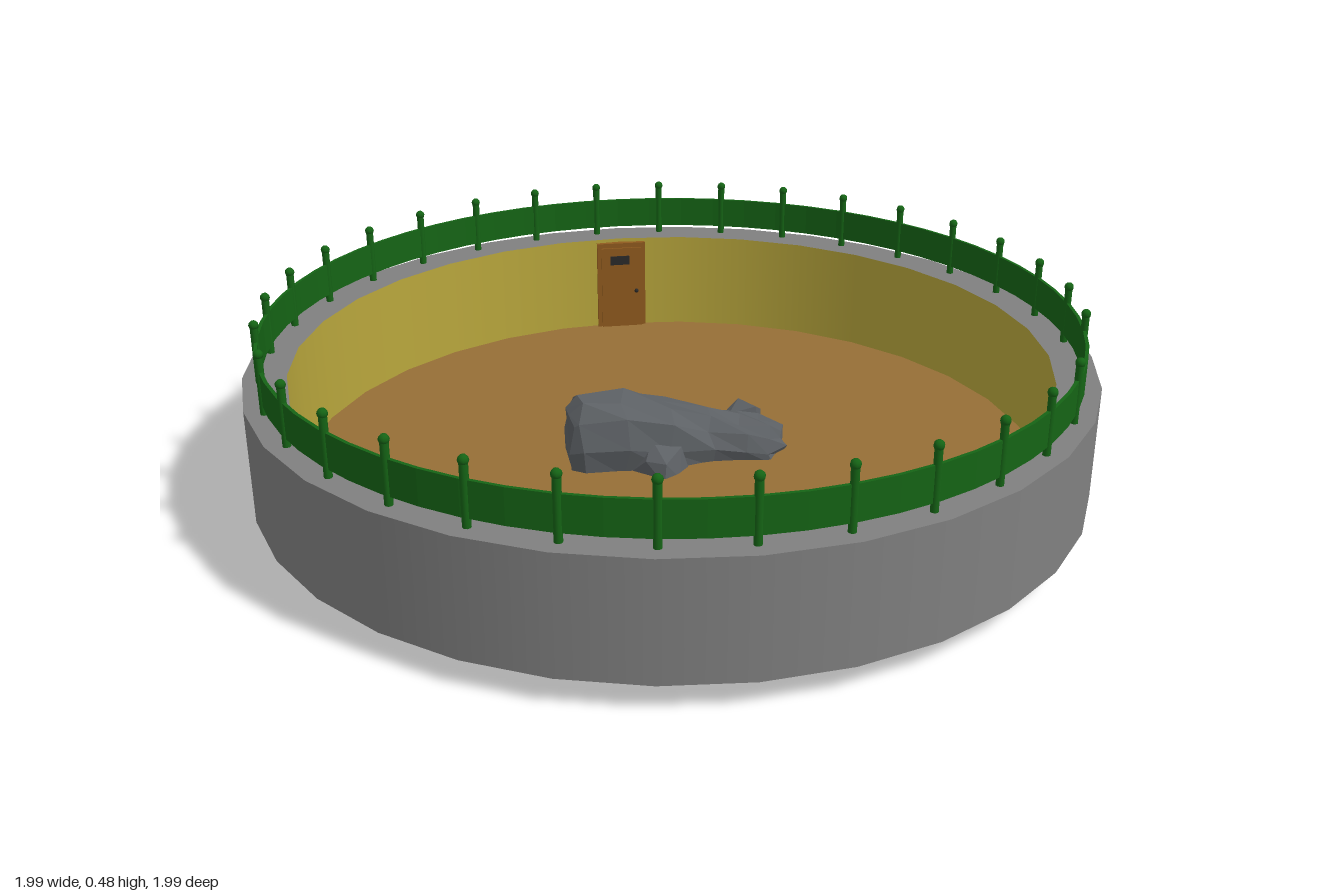
import * as THREE from 'three';
import { ConvexGeometry } from 'three/addons/geometries/ConvexGeometry.js';

const material = (color, extra = {}) => new THREE.MeshStandardMaterial({ color, ...extra });

function addMesh(parent, name, geometry, mat, x = 0, y = 0, z = 0) {
  const mesh = new THREE.Mesh(geometry, mat);
  mesh.name = name;
  mesh.position.set(x, y, z);
  parent.add(mesh);
  return mesh;
}

// Faceted body lofted along x; each section is [x, zMin, zMax, top]
function loftRock(sections, bottom) {
  // Unit outline: [z 0..1, height 0..1], from the +z side over the top
  const outline = [[0.95, 0], [1, 0.4], [0.9, 0.8], [0.68, 0.97], [0.4, 1], [0.13, 0.86], [0, 0.45], [0.06, 0]];
  const n = outline.length, pos = [], idx = [];
  sections.forEach(([x, z0, z1, top], i) => outline.forEach(([u, v], j) => {
    const wobble = 0.008 * Math.sin(i * 2.3 + j * 4.1);
    pos.push(x + wobble, bottom + v * (top - bottom + wobble), z0 + u * (z1 - z0) + wobble * 0.6);
  }));
  for (let i = 0; i < sections.length - 1; i++) {
    for (let j = 0; j < n; j++) {
      const a = i * n + j, c = i * n + (j + 1) % n;
      idx.push(a, a + n, c, a + n, c + n, c);
    }
  }
  const last = (sections.length - 1) * n;
  for (let j = 1; j < n - 1; j++) {
    idx.push(0, j, j + 1, last, last + j + 1, last + j);
  }
  const g = new THREE.BufferGeometry();
  g.setAttribute('position', new THREE.Float32BufferAttribute(pos, 3));
  g.setIndex(idx);
  const flat = g.toNonIndexed();
  flat.computeVertexNormals();
  return flat;
}

const hull = points => new ConvexGeometry(points.map(p => new THREE.Vector3(...p)));

export function createModel() {
  const model = new THREE.Group();
  model.name = 'roundEnclosure';

  const stone = material(0x808080);
  const plaster = material(0xb8a63c, { side: THREE.BackSide });
  const earth = material(0x966e36);
  const green = material(0x156415);
  const wood = material(0x8f5a1e);
  const dark = material(0x2a2a2a);
  const rock = material(0x5c6064, { flatShading: true });

  const R = 0.995, r = 0.895, base = 0.06, top = 0.33, sides = 32;
  const height = top - base, middle = (top + base) / 2;

  // Ring wall and floor
  const wall = new THREE.Group();
  wall.name = 'wall';
  model.add(wall);
  addMesh(wall, 'outerWall', new THREE.CylinderGeometry(R, R, height, sides, 1, true), stone, 0, middle);
  addMesh(wall, 'innerWall', new THREE.CylinderGeometry(r, r, height, sides, 1, true), plaster, 0, middle);
  addMesh(wall, 'wallTop', new THREE.RingGeometry(r, R, sides), stone, 0, top).rotation.x = -Math.PI / 2;
  addMesh(wall, 'wallBottom', new THREE.RingGeometry(r, R, sides), stone, 0, base).rotation.x = Math.PI / 2;
  addMesh(model, 'floor', new THREE.CylinderGeometry(r, r, 0.006, sides), earth, 0, base + 0.003);

  // Fence: a thin band carried by round-topped posts
  const fence = new THREE.Group();
  fence.name = 'fence';
  model.add(fence);
  const fenceR = 0.953, w = 0.004;
  const band = [[-w, 0.35], [w, 0.35], [w, 0.43], [-w, 0.43], [-w, 0.35]]
    .map(([dx, y]) => new THREE.Vector2(fenceR + dx, y));
  const bandGeometry = new THREE.LatheGeometry(band, 64).toNonIndexed();
  bandGeometry.computeVertexNormals();
  addMesh(fence, 'fenceBand', bandGeometry, green);
  const postGeometry = new THREE.CylinderGeometry(0.009, 0.009, 0.135, 8);
  const capGeometry = new THREE.SphereGeometry(0.0115, 8, 6);
  for (let i = -5; i <= 26; i++) {
    const angle = -THREE.MathUtils.degToRad(11.02 * i);
    const x = fenceR * Math.sin(angle), z = fenceR * Math.cos(angle);
    addMesh(fence, 'fencePost', postGeometry, green, x, top + 0.0675, z);
    addMesh(fence, 'postCap', capGeometry, green, x, 0.469, z);
  }

  // Door passing through the back of the wall
  const door = new THREE.Group();
  door.name = 'door';
  model.add(door);
  addMesh(door, 'doorBlock', new THREE.BoxGeometry(0.14, 0.275, 0.118), wood, 0, 0.1825, -0.937);
  addMesh(door, 'doorOutside', new THREE.BoxGeometry(0.136, 0.25, 0.01), dark, 0, 0.184, -0.994);
  addMesh(door, 'doorLeaf', new THREE.BoxGeometry(0.116, 0.245, 0.006), wood, 0, 0.184, -0.876);
  addMesh(door, 'doorWindow', new THREE.BoxGeometry(0.055, 0.026, 0.004), dark, -0.005, 0.27, -0.872);
  addMesh(door, 'doorHandle', new THREE.SphereGeometry(0.006, 8, 6), dark, 0.043, 0.175, -0.87);

  // Rocks in the middle
  const rocks = new THREE.Group();
  rocks.name = 'rocks';
  model.add(rocks);
  addMesh(rocks, 'mainRock', loftRock([
    [-0.25, -0.07, 0.07, 0.2],
    [-0.225, -0.095, 0.09, 0.225],
    [-0.12, -0.1, 0.1, 0.23],
    [-0.01, -0.095, 0.1, 0.2],
    [0.09, -0.09, 0.075, 0.165],
    [0.17, -0.085, 0.085, 0.145],
    [0.23, -0.095, 0.09, 0.13],
    [0.275, -0.045, 0.03, 0.105],
  ], 0.052), rock);
  addMesh(rocks, 'backRock', hull([
    [-0.07, 0, -0.15], [-0.14, 0.055, -0.12], [0, 0.055, -0.1], [0.01, 0.06, -0.17], [-0.12, 0.06, -0.19],
    [-0.15, 0.1, -0.15], [-0.12, 0.13, -0.2], [-0.02, 0.12, -0.21], [0.035, 0.1, -0.15], [0.02, 0.14, -0.1],
    [-0.04, 0.155, -0.13], [-0.13, 0.15, -0.1],
  ]), rock);
  addMesh(rocks, 'sideRock', hull([
    [0.16, 0.052, -0.13], [0.18, 0.052, -0.16], [0.25, 0.052, -0.15], [0.24, 0.052, -0.08], [0.15, 0.052, -0.08],
    [0.165, 0.11, -0.13], [0.2, 0.125, -0.16], [0.255, 0.1, -0.14], [0.23, 0.13, -0.09], [0.16, 0.12, -0.08],
  ]), rock);
  addMesh(rocks, 'frontRock', hull([
    [-0.12, 0.052, 0.08], [-0.04, 0.052, 0.15], [0.03, 0.052, 0.09], [0, 0.055, 0.125],
    [-0.08, 0.1, 0.115], [-0.035, 0.1, 0.14], [0.01, 0.12, 0.09], [-0.06, 0.14, 0.08],
  ]), rock);

  return model;
}
